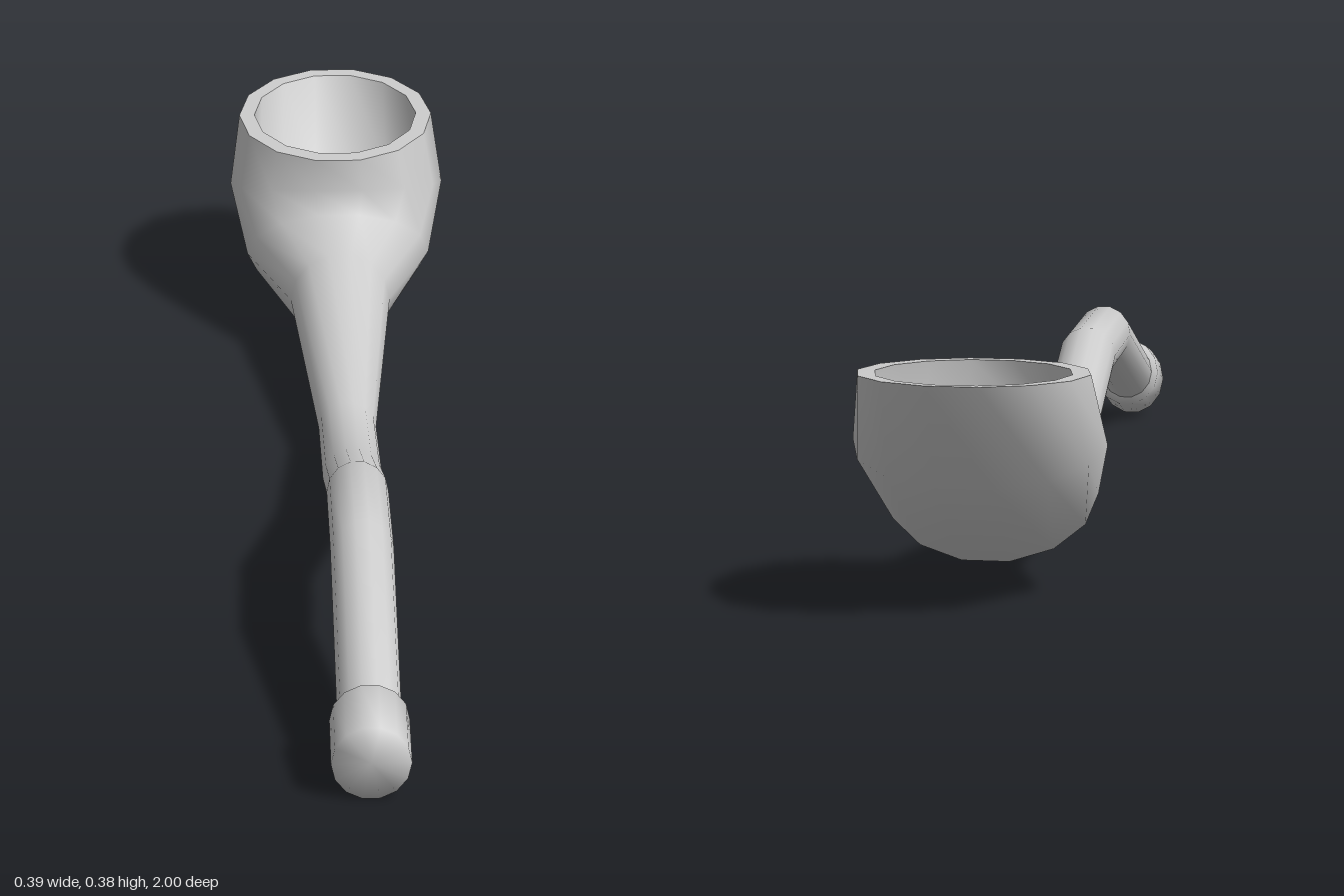
import * as THREE from 'three';

const SIDES = 14;
const FLAT = Math.cos(Math.PI / SIDES); // sections have a flat edge on top and bottom

// Lofts elliptical sections, each given as [topZ, topY, bottomZ, bottomY, halfWidth]
function loft(sections, capStart, capEnd) {
  const pos = [], index = [];
  for (const [tz, ty, bz, by, w] of sections) {
    for (let j = 0; j < SIDES; j++) {
      const a = ((j + 0.5) / SIDES) * Math.PI * 2;
      const k = Math.cos(a) / FLAT / 2;
      pos.push(w * Math.sin(a), (ty + by) / 2 + (ty - by) * k, (tz + bz) / 2 + (tz - bz) * k);
    }
  }
  for (let i = 0; i < sections.length - 1; i++) {
    for (let j = 0; j < SIDES; j++) {
      const a = i * SIDES + j, b = i * SIDES + (j + 1) % SIDES;
      index.push(a, b, a + SIDES, b, b + SIDES, a + SIDES);
    }
  }
  const cap = (i, flip) => {
    const [tz, ty, bz, by] = sections[i];
    const c = pos.length / 3;
    pos.push(0, (ty + by) / 2, (tz + bz) / 2);
    for (let j = 0; j < SIDES; j++) {
      const a = i * SIDES + j, b = i * SIDES + (j + 1) % SIDES;
      index.push(c, flip ? b : a, flip ? a : b);
    }
  };
  if (capStart) cap(0, true);
  if (capEnd) cap(sections.length - 1, false);
  const g = new THREE.BufferGeometry();
  g.setAttribute('position', new THREE.Float32BufferAttribute(pos, 3));
  g.setIndex(index);
  g.computeVertexNormals();
  return g;
}

export function createModel() {
  const group = new THREE.Group();
  const material = new THREE.MeshStandardMaterial({ color: 0xcccccc });
  const add = (name, geometry) => {
    const mesh = new THREE.Mesh(geometry, material);
    mesh.name = name;
    group.add(mesh);
  };

  const outerRim = [-0.61, 0.36, -1.0, 0.38, 0.178];
  const innerRim = [-0.64, 0.362, -0.975, 0.378, 0.15];

  // Curved stem swelling into the outside of the bowl
  add('stemAndBowl', loft([
    [0.93, 0.138, 0.93, 0.036, 0.049],
    [0.6, 0.265, 0.58, 0.167, 0.05],
    [0.38, 0.258, 0.4, 0.16, 0.05],
    [0.15, 0.162, 0.17, 0.063, 0.05],
    [-0.12, 0.113, -0.11, 0.024, 0.05],
    [-0.52, 0.21, -0.5, 0.048, 0.09],
    [-0.59, 0.26, -0.705, 0.06, 0.167],
    [-0.61, 0.3, -0.9, 0.21, 0.196],
    outerRim,
  ], true, false));

  // Flat lip around the opening
  add('rim', loft([outerRim, innerRim], false, false));

  // Hollow inside of the bowl
  add('bowlCavity', loft([
    innerRim,
    [-0.637, 0.3, -0.88, 0.235, 0.155],
    [-0.645, 0.22, -0.79, 0.155, 0.11],
    [-0.67, 0.17, -0.73, 0.135, 0.05],
  ], false, true));

  // Collar at the mouth end
  add('mouthpiece', loft([
    [1.0, 0.134, 0.985, 0.002, 0.061],
    [0.912, 0.156, 0.905, 0.032, 0.061],
  ], true, true));

  return group;
}
